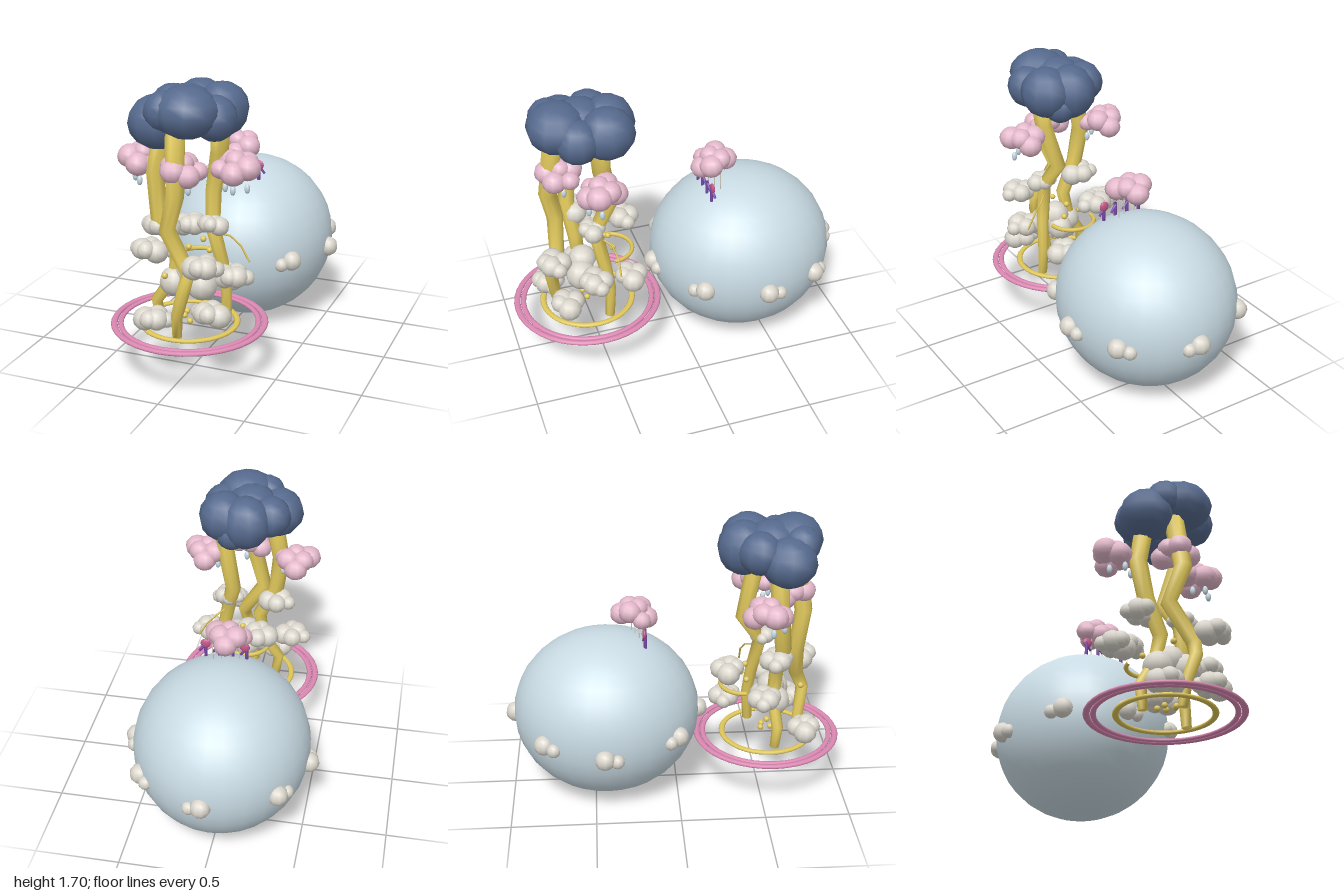
import * as THREE from 'three';

const mat = (name, color) => Object.assign(new THREE.MeshStandardMaterial({ color }), { name });

export function createModel() {
  const model = new THREE.Group();
  model.name = 'coralGrove';
  const sky = mat('paleBlue', 0xc8dae3), navy = mat('navy', 0x566a8e), blush = mat('blush', 0xe3b8ca);
  const rose = mat('rose', 0xdb88b2), gold = mat('gold', 0xdfc75b), stone = mat('stone', 0xdad6cc);
  const purple = mat('purple', 0x774aab), berry = mat('berry', 0xc4588c);
  const ball = new THREE.SphereGeometry(1, 10, 8);

  const add = (name, geo, material, parent = model) => {
    const m = new THREE.Mesh(geo, material);
    m.name = name;
    parent.add(m);
    return m;
  };
  const group = (name, x = 0, y = 0, z = 0) => {
    const g = new THREE.Group();
    g.name = name;
    g.position.set(x, y, z);
    model.add(g);
    return g;
  };
  const blob = (name, material, [x, y, z, rx, ry = rx, rz = rx], parent) => {
    const m = add(name, ball, material, parent);
    m.position.set(x, y, z);
    m.scale.set(rx, ry, rz);
    return m;
  };

  // Tapered trunk or stem: rings swept along a few points
  const limb = (name, pts, r0, r1, material, parent, sides = 8) => {
    const v = pts.map(p => new THREE.Vector3(...p));
    const pos = [], idx = [], n = v.length;
    v.forEach((p, i) => {
      const dir = v[Math.min(i + 1, n - 1)].clone().sub(v[Math.max(i - 1, 0)]).normalize();
      const q = new THREE.Quaternion().setFromUnitVectors(new THREE.Vector3(0, 1, 0), dir);
      const r = r0 + (r1 - r0) * i / (n - 1);
      for (let s = 0; s < sides; s++) {
        const a = s / sides * Math.PI * 2;
        const o = new THREE.Vector3(Math.sin(a) * r, 0, Math.cos(a) * r).applyQuaternion(q).add(p);
        pos.push(o.x, o.y, o.z);
        if (i < n - 1) {
          const b = i * sides + s, c = i * sides + (s + 1) % sides;
          idx.push(b, c, c + sides, b, c + sides, b + sides);
        }
      }
    });
    for (let s = 1; s < sides - 1; s++) {
      const t = (n - 1) * sides;
      idx.push(0, s + 1, s, t, t + s, t + s + 1);
    }
    const geo = new THREE.BufferGeometry();
    geo.setAttribute('position', new THREE.Float32BufferAttribute(pos, 3));
    geo.setIndex(idx);
    geo.computeVertexNormals();
    return add(name, geo, material, parent);
  };

  // Great globe with stones around its equator: angle from the front, side of the small stone, height
  const globe = add('globe', new THREE.SphereGeometry(1, 28, 18), sky);
  globe.position.set(0, 0.507, -0.42);
  globe.scale.set(0.518, 0.503, 0.557);
  const globeStones = group('globeStones', 0, 0, -0.42);
  [[0, 1, 0.49], [50, -1, 0.5], [90, 1, 0.485], [127, 1, 0.485], [178, -1, 0.49], [228, 1, 0.485],
    [268, 1, 0.45], [319, -1, 0.485]].forEach(([deg, side, y]) => {
    const a = THREE.MathUtils.degToRad(deg);
    [[0, 0.06, 0], [0.13 * side, 0.042, -0.015]].forEach(([d, r, dy]) =>
      blob('globeStone', stone, [Math.sin(a + d) * 0.517, y + dy, Math.cos(a + d) * 0.55, r], globeStones));
  });

  // Flat rings under the grove
  const rings = group('groundRings', 0, 0.31, 0.555);
  [[0.427, 0.019, rose], [0.39, 0.016, rose], [0.27, 0.018, gold]].forEach(([r, t, m]) => {
    const ring = add('groundRing', new THREE.TorusGeometry(r, t, 8, 40), m, rings);
    ring.rotation.x = Math.PI / 2;
    ring.scale.z = 0.6;
  });

  // Three crooked trunks
  const trunks = group('trunks');
  limb('frontTrunk', [[0, 0.29, 0.73], [0.01, 0.42, 0.755], [0.06, 0.58, 0.78], [0.075, 0.68, 0.74],
    [-0.06, 0.9, 0.71], [0.01, 1.12, 0.755], [-0.01, 1.45, 0.7]], 0.029, 0.058, gold, trunks);
  limb('leftTrunk', [[-0.16, 0.29, 0.59], [-0.18, 0.43, 0.6], [-0.08, 0.58, 0.58], [-0.05, 0.75, 0.6],
    [-0.15, 0.94, 0.62], [-0.18, 1.18, 0.59], [-0.13, 1.45, 0.58]], 0.029, 0.058, gold, trunks);
  limb('rightTrunk', [[0.19, 0.3, 0.465], [0.185, 0.48, 0.455], [0.17, 0.66, 0.48],
    [0.13, 0.88, 0.52], [0.09, 1.05, 0.41], [0.15, 1.3, 0.47], [0.16, 1.45, 0.48]], 0.029, 0.058, gold, trunks);

  // Dark canopy
  const canopy = group('canopy');
  [[0.05, 1.56, 0.685, 0.185, 0.14, 0.17], [-0.14, 1.48, 0.63, 0.165, 0.148], [0.148, 1.53, 0.43, 0.152, 0.15, 0.16],
    [0.01, 1.52, 0.39, 0.155, 0.16], [-0.12, 1.53, 0.47, 0.13, 0.125], [0.175, 1.52, 0.6, 0.125],
    [0.0, 1.55, 0.55, 0.16, 0.13], [0.09, 1.45, 0.37, 0.1], [-0.07, 1.56, 0.71, 0.11]]
    .forEach(b => blob('canopyPuff', navy, b, canopy));

  // Blush clouds: shared puffs, placed, mirrored and turned
  const puffs = [[-0.07, 0.02, 0.03, 0.078], [0.055, 0.03, -0.04, 0.075], [0, -0.01, 0.075, 0.075],
    [0.0, -0.01, -0.085, 0.075], [0.09, 0.0, 0.04, 0.06], [-0.04, 0.03, -0.04, 0.07], [0.01, 0.05, 0.01, 0.065]];
  const cloud = (name, x, y, z, s, flip, tilt = 0, yaw = 0) => {
    const g = group(name, x, y, z);
    g.scale.setScalar(s);
    g.rotation.set(tilt, yaw, 0);
    puffs.forEach(([px, py, pz, r]) => blob('cloudPuff', blush, [px * flip, py, pz, r, r * 0.92, r], g));
  };
  cloud('leftCloud', -0.29, 1.22, 0.505, 0.95, 1);
  cloud('rightCloud', 0.27, 1.225, 0.505, 0.95, -1);
  cloud('frontCloud', 0.015, 1.23, 0.68, 0.92, 1, 0, 0.9);
  cloud('globeCloud', 0, 1.125, -0.24, 0.92, -1, 0.2);

  // Hanging drops
  const drops = group('drops');
  [[-0.33, 0.53], [-0.27, 0.6], [-0.2, 0.54], [0.21, 0.54], [0.27, 0.58], [0.33, 0.52], [0.05, 0.67]]
    .forEach(([x, z]) => blob('drop', sky, [x, 1.125, z, 0.016, 0.028, 0.016], drops));

  // Stone clusters climbing the trunks
  const stones = group('stoneClusters');
  [[-0.155, 0.87, 0.58, 1], [0.17, 0.74, 0.78, 1], [0.2, 0.45, 0.72, 1], [-0.13, 0.39, 0.77, 1],
    [-0.27, 0.68, 0.5, 1], [-0.1, 0.79, 0.3, 1], [0.12, 0.5, 0.31, 1], [0.26, 0.62, 0.56, 1],
    [0.14, 0.9, 0.54, 0.8]].forEach(([x, y, z, k], i) => {
    const f = i % 2 ? k : -k;
    [[-0.045, -0.005, 0, 0.07], [0.035, 0.01, 0.02, 0.064], [0.08, 0, -0.015, 0.045],
      [0, 0.015, 0.045, 0.054], [0.01, 0.005, -0.045, 0.06]]
      .forEach(([a, b, c, r]) => blob('stone', stone, [x + a * f, y + b * k, z + c * k, r * k, r * 0.95 * k, r * k], stones));
  });
  [[-0.07, 0.56, 0.6, 0.085], [0.1, 0.57, 0.61, 0.09], [0.02, 0.62, 0.58, 0.085], [0.02, 0.55, 0.53, 0.08]]
    .forEach(b => blob('coreStone', stone, b, stones));

  // Golden arc, beads and a fine tendril
  const arc = add('goldenArc', new THREE.TorusGeometry(0.14, 0.013, 6, 20, Math.PI), gold);
  arc.rotation.x = -Math.PI / 2;
  arc.position.set(0, 0.645, 0.41);
  const beads = group('beads');
  [[0.02, 0.35, 0.53], [0.055, 0.355, 0.57], [-0.02, 0.35, 0.58], [0.03, 0.34, 0.62], [-0.03, 0.35, 0.52],
    [-0.06, 0.7, 0.42], [0.03, 0.76, 0.42], [0.06, 0.69, 0.4], [-0.06, 0.65, 0.75]]
    .forEach(([x, y, z]) => blob('bead', gold, [x, y, z, 0.018], beads));
  limb('tendril', [[0.14, 0.84, 0.5], [0.2, 0.81, 0.44], [0.26, 0.75, 0.42], [0.31, 0.66, 0.42]],
    0.006, 0.006, gold, model, 5);

  // Small branching sprouts beneath the globe's cloud, the outer two with flat blooms
  const sprouts = group('sprouts');
  [-0.1, -0.02, 0.06, 0.14].forEach((x, i) => {
    limb('sproutStem', [[x, 0.945, -0.185], [x, 1.035, -0.185]], 0.01, 0.01, purple, sprouts, 6);
    limb('sproutBranch', [[x, 1.025, -0.187], [x + 0.035, 0.985, -0.195]], 0.009, 0.008, purple, sprouts, 6);
    limb('cord', [[x * 0.6, 0.95, -0.2 - i * 0.02], [x * 0.6, 1.1, -0.2 - i * 0.02]], 0.003, 0.003, stone, sprouts, 5);
  });
  [-0.09, 0.14].forEach(x => blob('bloom', berry, [x, 1.035, -0.19, 0.03, 0.03, 0.012], sprouts));

  return model;
}
